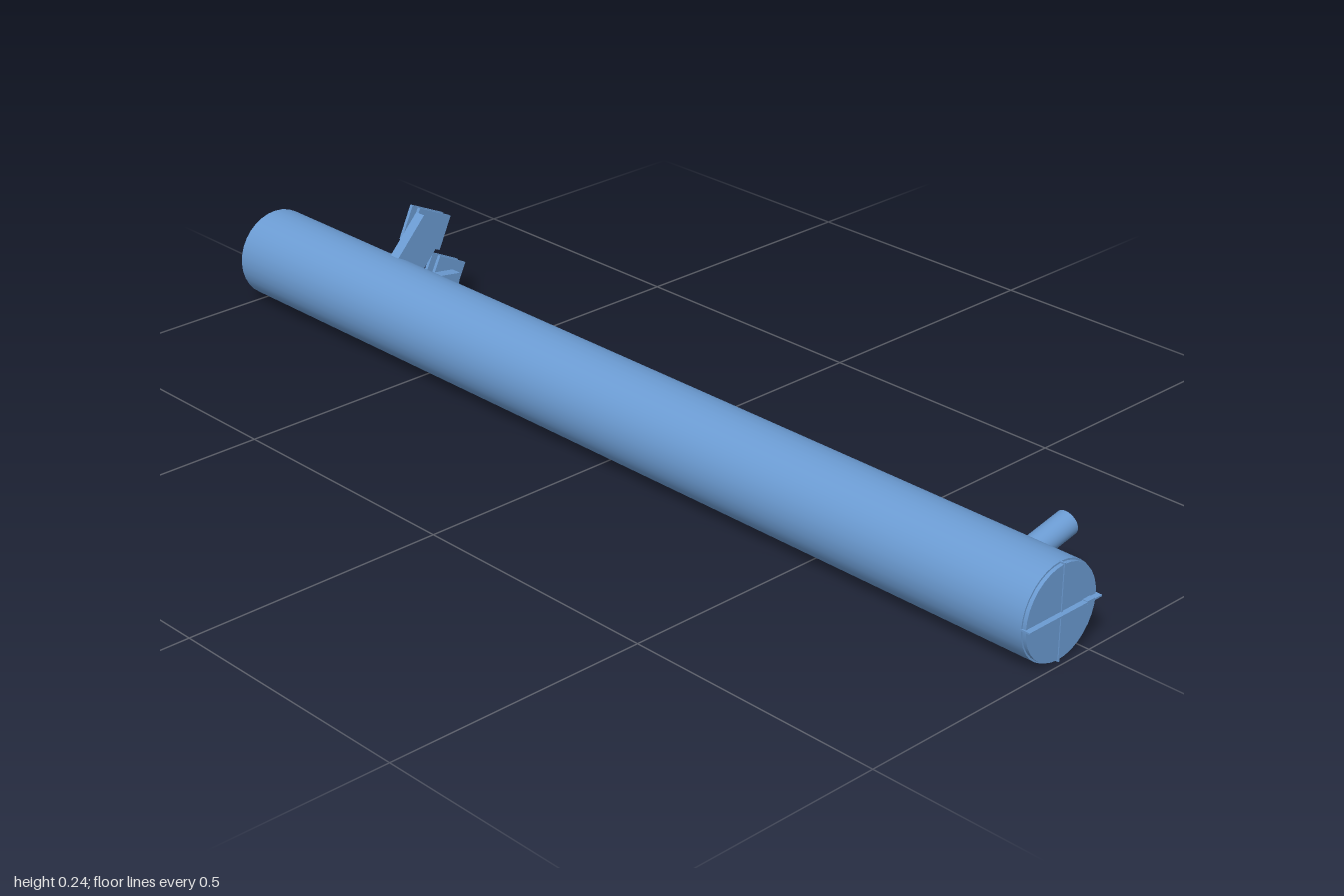
import * as THREE from 'three';

const AXIS_Y = 0.089, AXIS_Z = 0.064, RADIUS = 0.0875;

export function createModel() {
  const model = new THREE.Group();
  const blue = new THREE.MeshStandardMaterial({ color: 0x6b9bd2 });
  blue.name = 'blue';

  const add = (name, geometry, x, y, z, parent = model) => {
    const mesh = new THREE.Mesh(geometry, blue);
    mesh.name = name;
    mesh.position.set(x, y, z);
    parent.add(mesh);
    return mesh;
  };
  // cylinder lying along x between two x positions
  const barX = (name, r, x0, x1, y, z, sides = 32) => {
    const g = new THREE.CylinderGeometry(r, r, x1 - x0, sides).rotateZ(-Math.PI / 2);
    return add(name, g, (x0 + x1) / 2, y, z);
  };

  // long tube and its slightly narrower end cap
  barX('tube', RADIUS, -1, 0.983, AXIS_Y, AXIS_Z);
  barX('endCap', 0.0845, 0.97, 0.99, AXIS_Y, AXIS_Z);

  // crossed thin blades and a small key on the end cap
  add('horizontalBlade', new THREE.BoxGeometry(0.02, 0.003, 2 * RADIUS), 0.99, AXIS_Y, AXIS_Z);
  add('verticalBlade', new THREE.BoxGeometry(0.012, 2 * RADIUS, 0.003), 0.986, AXIS_Y, AXIS_Z);
  add('capKey', new THREE.BoxGeometry(0.02, 0.006, 0.018), 0.99, AXIS_Y, 0.003);

  // side spout, radial to the tube axis
  const spout = new THREE.Group();
  spout.name = 'spout';
  spout.position.set(0.852, AXIS_Y, AXIS_Z);
  spout.rotation.x = THREE.MathUtils.degToRad(12);
  const spoutGeometry = new THREE.CylinderGeometry(0.0228, 0.0228, 0.124, 32).rotateX(-Math.PI / 2);
  add('spoutTube', spoutGeometry, 0, 0, -0.122, spout);
  model.add(spout);

  // two hinged brackets: radial arm, pair of thin cheek plates, pin
  const brackets = [
    { name: 'upper', arm: 46.8, cheek: -25.5, y: 0.197, z: -0.0625 },
    { name: 'lower', arm: -8.5, cheek: 63.5, y: 0.082, z: -0.099 },
  ];
  for (const b of brackets) {
    const arm = new THREE.Group();
    arm.name = b.name + 'Arm';
    arm.position.set(-0.664, AXIS_Y, AXIS_Z);
    arm.rotation.x = THREE.MathUtils.degToRad(b.arm);
    add(b.name + 'ArmPlate', new THREE.BoxGeometry(0.023, 0.071, 0.106), 0, 0, -0.123, arm);
    model.add(arm);

    for (const x of [-0.701, -0.679]) {
      const cheek = add(b.name + 'Cheek', new THREE.BoxGeometry(0.007, 0.07, 0.083), x, b.y, b.z);
      cheek.rotation.x = THREE.MathUtils.degToRad(b.cheek);
    }
    barX(b.name + 'Pin', 0.009, -0.727, -0.67, b.y, b.z, 16);
  }
  return model;
}
